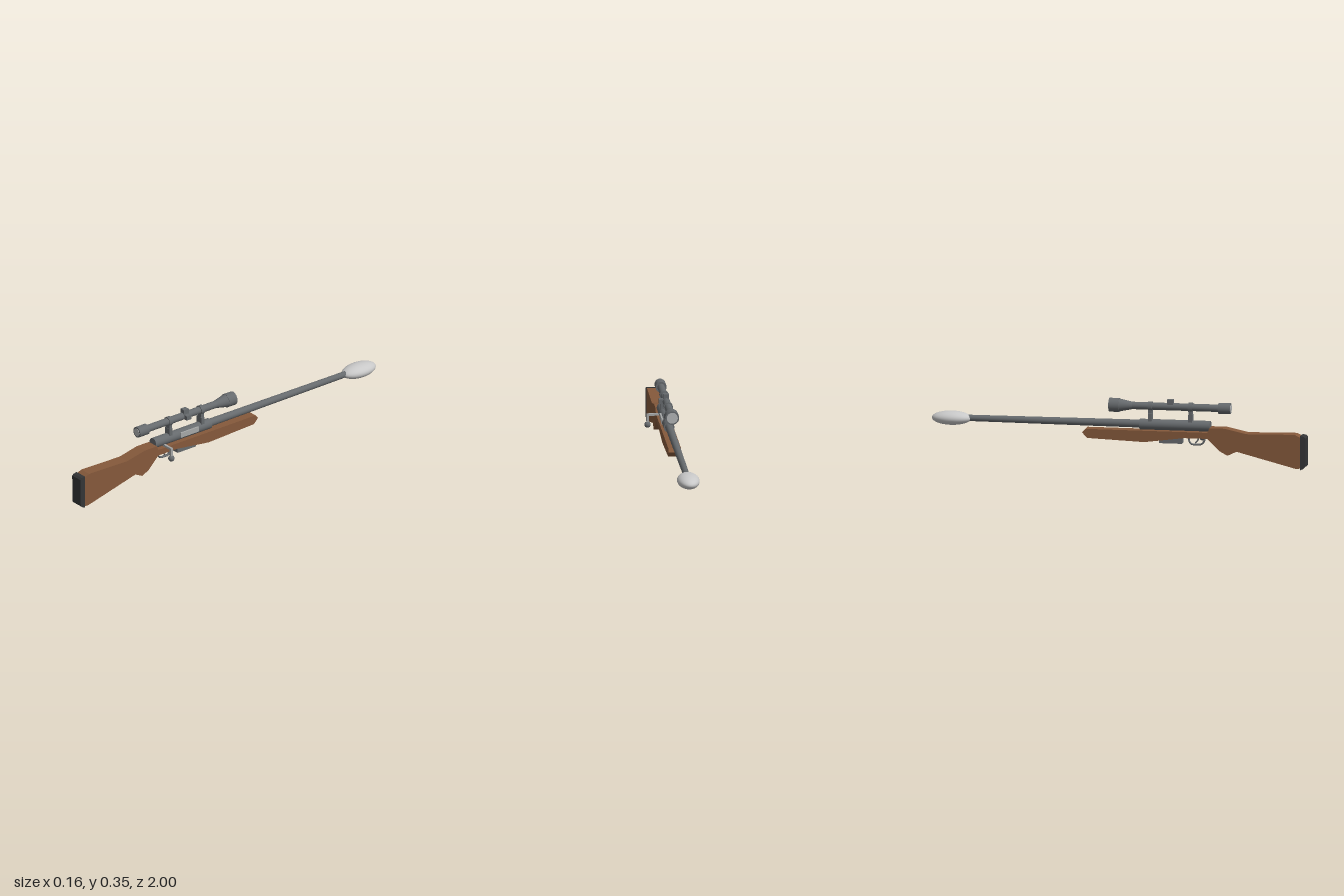
import * as THREE from 'three';

const mat = (name, color, side = THREE.FrontSide) => {
  const m = new THREE.MeshStandardMaterial({ color, side });
  m.name = name;
  return m;
};

export function createModel() {
  const wood = mat('wood', 0x85593b);
  const steel = mat('steel', 0x666a6d);
  const rubber = mat('rubber', 0x343536);
  const bright = mat('brightMetal', 0xa6a8a8);
  const pale = mat('paleGrey', 0xc8c8c8);
  const glass = mat('glass', 0xb2b4b5);

  const root = new THREE.Group();
  root.name = 'rifle';
  const CX = -0.021; // centre line of the rifle
  const BORE = 0.212, SCOPE = 0.309;

  const add = (name, geo, material, x = CX, y = 0, z = 0) => {
    const m = new THREE.Mesh(geo, material);
    m.name = name;
    m.position.set(x, y, z);
    root.add(m);
    return m;
  };

  // Side profile given as [z, y], extruded across x
  const slab = (name, pts, width, material) => {
    const shape = new THREE.Shape(pts.map(([z, y]) => new THREE.Vector2(z, y)));
    const geo = new THREE.ExtrudeGeometry(shape, { depth: width, bevelEnabled: false });
    geo.translate(0, 0, -width / 2).rotateY(-Math.PI / 2);
    return add(name, geo, material);
  };

  // Round part along z, from z0 (rear, radius r0) to z1 (front, radius r1)
  const rod = (name, r0, r1, z0, z1, y, material) =>
    add(name, new THREE.CylinderGeometry(r0, r1, z0 - z1, 32).rotateX(Math.PI / 2),
      material, CX, y, (z0 + z1) / 2);

  const box = (name, w, h, d, x, y, z, material) =>
    add(name, new THREE.BoxGeometry(w, h, d), material, x, y, z);

  // Stock and butt pad
  slab('stock', [
    [0.972, 0.172], [0.941, 0.187], [0.684, 0.182], [0.567, 0.207], [0.486, 0.207],
    [0.476, 0.182], [-0.176, 0.182], [-0.193, 0.163], [-0.166, 0.134], [0.139, 0.122],
    [0.35, 0.15], [0.476, 0.15], [0.54, 0.087], [0.583, 0.064], [0.631, 0.087],
    [0.952, 0.005], [0.972, 0.01],
  ], 0.067, wood);
  slab('buttPad', [
    [0.971, 0.182], [0.99, 0.178], [1.0, 0.169], [0.998, 0.018], [0.985, 0.006], [0.971, 0],
  ], 0.069, rubber);

  // Receiver, barrel and muzzle bulb
  rod('receiver', 0.028, 0.028, 0.486, 0.11, BORE, steel);
  rod('barrel', 0.021, 0.0165, 0.12, -0.82, BORE + 0.002, steel);
  const bulb = add('muzzleBulb', new THREE.SphereGeometry(1, 40, 24).rotateX(Math.PI / 2),
    pale, CX, BORE, -0.895);
  bulb.scale.set(0.059, 0.037, 0.105);
  box('ejectionPort', 0.022, 0.027, 0.12, -0.002, 0.217, 0.26, bright);

  // Bolt handle
  box('boltArm', 0.085, 0.011, 0.012, 0.0245, 0.192, 0.428, bright);
  box('boltDrop', 0.012, 0.05, 0.012, 0.061, 0.167, 0.428, bright);
  add('boltKnob', new THREE.SphereGeometry(0.017, 24, 16), steel, 0.061, 0.138, 0.428);

  // Magazine, trigger and guard
  slab('magazine', [[0.337, 0.155], [0.214, 0.155], [0.214, 0.117], [0.337, 0.117]], 0.042, steel);
  const guard = new THREE.CatmullRomCurve3([
    [0.152, 0.455], [0.132, 0.452], [0.116, 0.438], [0.113, 0.412],
    [0.115, 0.385], [0.13, 0.373], [0.152, 0.371],
  ].map(([y, z]) => new THREE.Vector3(0, y, z)));
  add('triggerGuard', new THREE.TubeGeometry(guard, 32, 0.005, 8), steel).scale.x = 1.6;
  add('triggerGuard', new THREE.TubeGeometry(guard, 32, 0.004, 8), steel);
  const trigger = new THREE.QuadraticBezierCurve3(
    new THREE.Vector3(0, 0.155, 0.42), new THREE.Vector3(0, 0.135, 0.425),
    new THREE.Vector3(0, 0.122, 0.405));
  add('trigger', new THREE.TubeGeometry(trigger, 10, 0.004, 8), steel);

  // Scope body
  rod('eyepiece', 0.029, 0.029, 0.594, 0.53, SCOPE, steel);
  rod('scopeTube', 0.0195, 0.0195, 0.535, 0.065, SCOPE, steel);
  rod('scopeCone', 0.0195, 0.034, 0.07, 0, SCOPE, steel);
  rod('objectiveBell', 0.0365, 0.0365, 0, -0.053, SCOPE, steel);
  rod('rearLens', 0.021, 0.021, 0.596, 0.59, SCOPE, glass);
  rod('frontLens', 0.029, 0.029, -0.049, -0.055, SCOPE, glass);

  // Turrets on top and on the left side
  box('topTurret', 0.03, 0.034, 0.032, CX, 0.331, 0.273, steel);
  box('sideTurret', 0.034, 0.024, 0.032, 0, SCOPE, 0.273, steel);

  // Mounts
  for (const z of [0.38, 0.166]) {
    rod('mountRing', 0.0245, 0.0245, z + 0.011, z - 0.011, SCOPE, steel);
    box('mountNeck', 0.033, 0.03, 0.018, CX, 0.28, z, steel);
    box('mountBase', 0.041, 0.042, 0.02, CX, 0.25, z, steel);
  }

  return root;
}
